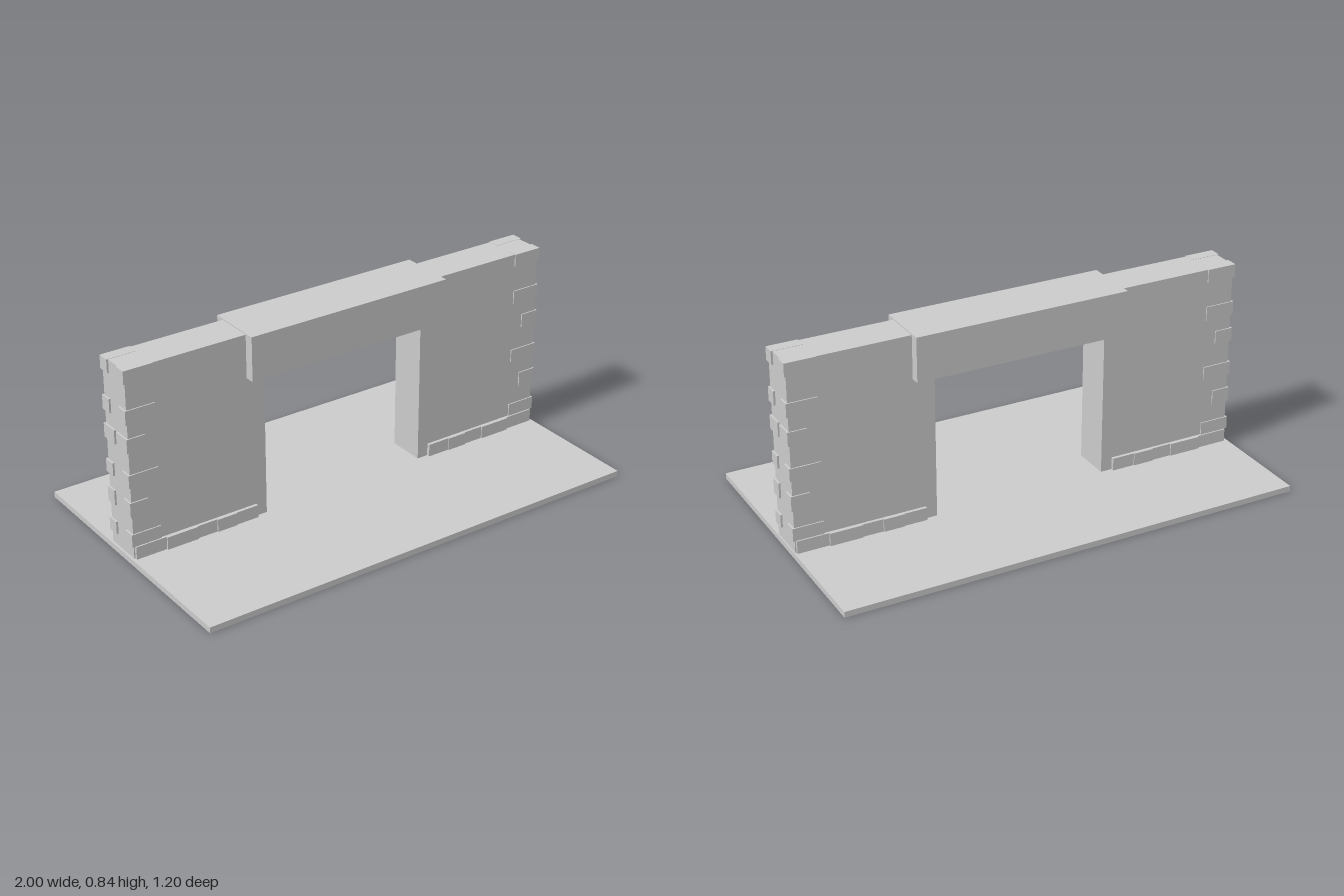
import * as THREE from 'three';

const material = new THREE.MeshStandardMaterial({ color: 0xcccccc, flatShading: true });

// Box given by its min and max corners
function block(name, x0, x1, y0, y1, z0, z1) {
  const mesh = new THREE.Mesh(new THREE.BoxGeometry(x1 - x0, y1 - y0, z1 - z0), material);
  mesh.name = name;
  mesh.position.set((x0 + x1) / 2, (y0 + y1) / 2, (z0 + z1) / 2);
  return mesh;
}

const FRONT = 0.035, BACK = -0.128, MID = (FRONT + BACK) / 2;

// One wall on the +x side, with corner stones and a footing course
function createWall(name) {
  const wall = new THREE.Group();
  wall.name = name;
  wall.add(block('wallBody', 0.38, 0.99, 0.02, 0.835, BACK, FRONT));

  // Corner stones: bottom, top, reach along the wall, reach across the end
  const stones = [
    [0.08, 0.135, 0.13, 0.046],
    [0.21, 0.275, 0.08, 0.046],
    [0.34, 0.395, 0.13, 0.046],
    [0.49, 0.55, 0.08, 0.073],
    [0.61, 0.67, 0.13, 0.046],
    [0.78, 0.836, 0.13, 0.046],
  ];
  // Footing joints and how far each stone stands out
  const joints = [0.43, 0.53, 0.62, 0.71, 0.85, 0.985];
  const depths = [0.014, 0.018, 0.013, 0.018, 0.011];

  for (const side of [1, -1]) {
    const face = side > 0 ? FRONT : BACK;
    for (const [y0, y1, along, across] of stones) {
      const a = face + side * 0.005, b = face - side * across;
      wall.add(block('cornerStone', 0.998 - along, 0.998, y0, y1, Math.min(a, b), Math.max(a, b)));
    }
    depths.forEach((d, i) => {
      const a = face + side * d;
      wall.add(block('footingStone', joints[i], joints[i + 1], 0.02, 0.08, Math.min(a, MID), Math.max(a, MID)));
    });
  }
  return wall;
}

export function createModel() {
  const model = new THREE.Group();
  model.name = 'gateway';

  // Ground slab
  model.add(block('baseSlab', -1, 0.995, 0, 0.025, -0.6, 0.6));

  // Walls; the right one is the left one turned about the wall's middle line
  const left = createWall('leftWall');
  const right = createWall('rightWall');
  right.rotation.y = Math.PI;
  right.position.z = 2 * MID;
  model.add(left, right);

  // Beam across the opening
  model.add(block('lintel', -0.46, 0.473, 0.65, 0.84, -0.168, 0.077));
  return model;
}
